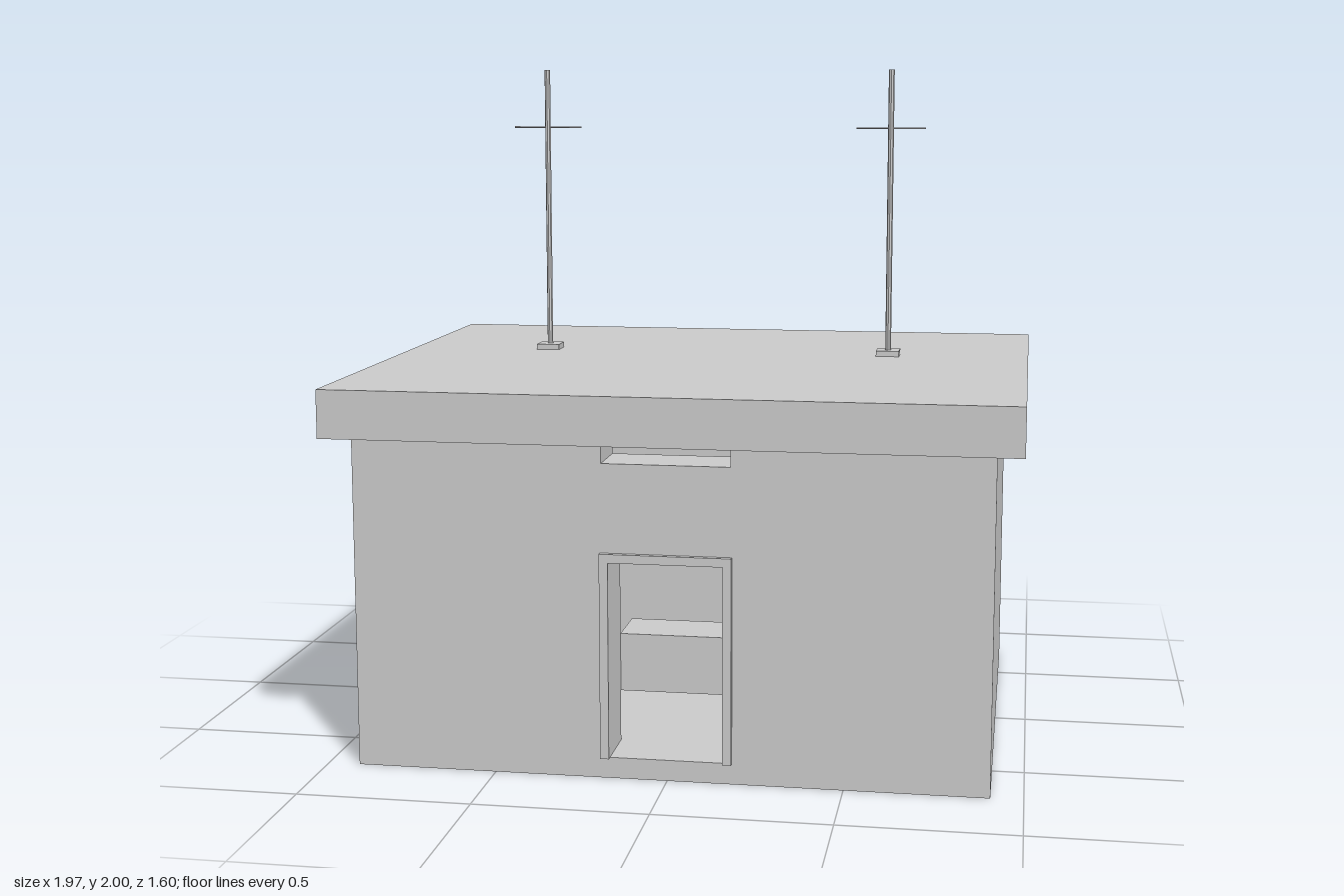
import * as THREE from 'three';

const material = new THREE.MeshStandardMaterial({ color: 0xcccccc, flatShading: true });

export function createModel() {
  const model = new THREE.Group();

  const add = (name, geometry, parent = model) => {
    const mesh = new THREE.Mesh(geometry, material);
    mesh.name = name;
    parent.add(mesh);
    return mesh;
  };

  // Box given by its minimum and maximum corners
  const box = (name, [x0, y0, z0], [x1, y1, z1], parent) => {
    const mesh = add(name, new THREE.BoxGeometry(x1 - x0, y1 - y0, z1 - z0), parent);
    mesh.position.set((x0 + x1) / 2, (y0 + y1) / 2, (z0 + z1) / 2);
    return mesh;
  };

  const rect = (Type, x0, y0, x1, y1) => {
    const p = new Type();
    p.moveTo(x0, y0);
    p.lineTo(x1, y0);
    p.lineTo(x1, y1);
    p.lineTo(x0, y1);
    p.closePath();
    return p;
  };

  const W = 0.908, D = 0.73, T = 0.16, FLOOR = 0.06, EAVES = 0.97;

  // Front wall with the doorway and the slot under the eaves
  const wall = rect(THREE.Shape, -W, FLOOR, W, EAVES);
  wall.holes.push(
    rect(THREE.Path, -0.165, FLOOR + 0.0005, 0.16, 0.63),
    rect(THREE.Path, -0.185, 0.91, 0.18, EAVES - 0.0005),
  );
  add('frontWall', new THREE.ExtrudeGeometry(wall, { depth: T, bevelEnabled: false }))
    .position.z = D - T;

  // Remaining shell
  box('floor', [-W, 0, -D], [W, FLOOR, D]);
  box('backWall', [-W, FLOOR, -D], [W, EAVES, -D + T]);
  for (const s of [-1, 1]) {
    const side = box(s > 0 ? 'leftWall' : 'rightWall',
      [W - T, FLOOR, -D + T], [W, EAVES, D - T]);
    side.position.x *= s;
  }
  box('roofSlab', [-0.983, EAVES, -0.802], [0.983, 1.11, 0.802]);

  // Raised surround of the doorway
  const frame = new THREE.Group();
  frame.name = 'doorFrame';
  model.add(frame);
  box('rightJamb', [-0.19, FLOOR, D], [-0.165, 0.63, 0.746], frame);
  box('leftJamb', [0.16, FLOOR, D], [0.185, 0.63, 0.746], frame);
  box('lintel', [-0.19, 0.63, D], [0.185, 0.655, 0.746], frame);

  // Counter just inside the doorway
  box('counter', [-0.165, 0.21, 0.4], [0.16, 0.38, D - T]);

  // Roof masts with foot plate and crossbar
  for (const s of [-1, 1]) {
    const mast = new THREE.Group();
    mast.name = s > 0 ? 'leftMast' : 'rightMast';
    mast.position.set(s * 0.546, 1.11, -0.185);
    model.add(mast);
    box('footPlate', [-0.036, 0, -0.036], [0.036, 0.017, 0.036], mast);
    add('pole', new THREE.CylinderGeometry(0.009, 0.009, 0.873, 8), mast).position.y = 0.4535;
    const bar = add('crossbar', new THREE.CylinderGeometry(0.003, 0.003, 0.216, 6), mast);
    bar.rotation.z = Math.PI / 2;
    bar.position.y = 0.71;
  }

  return model;
}
